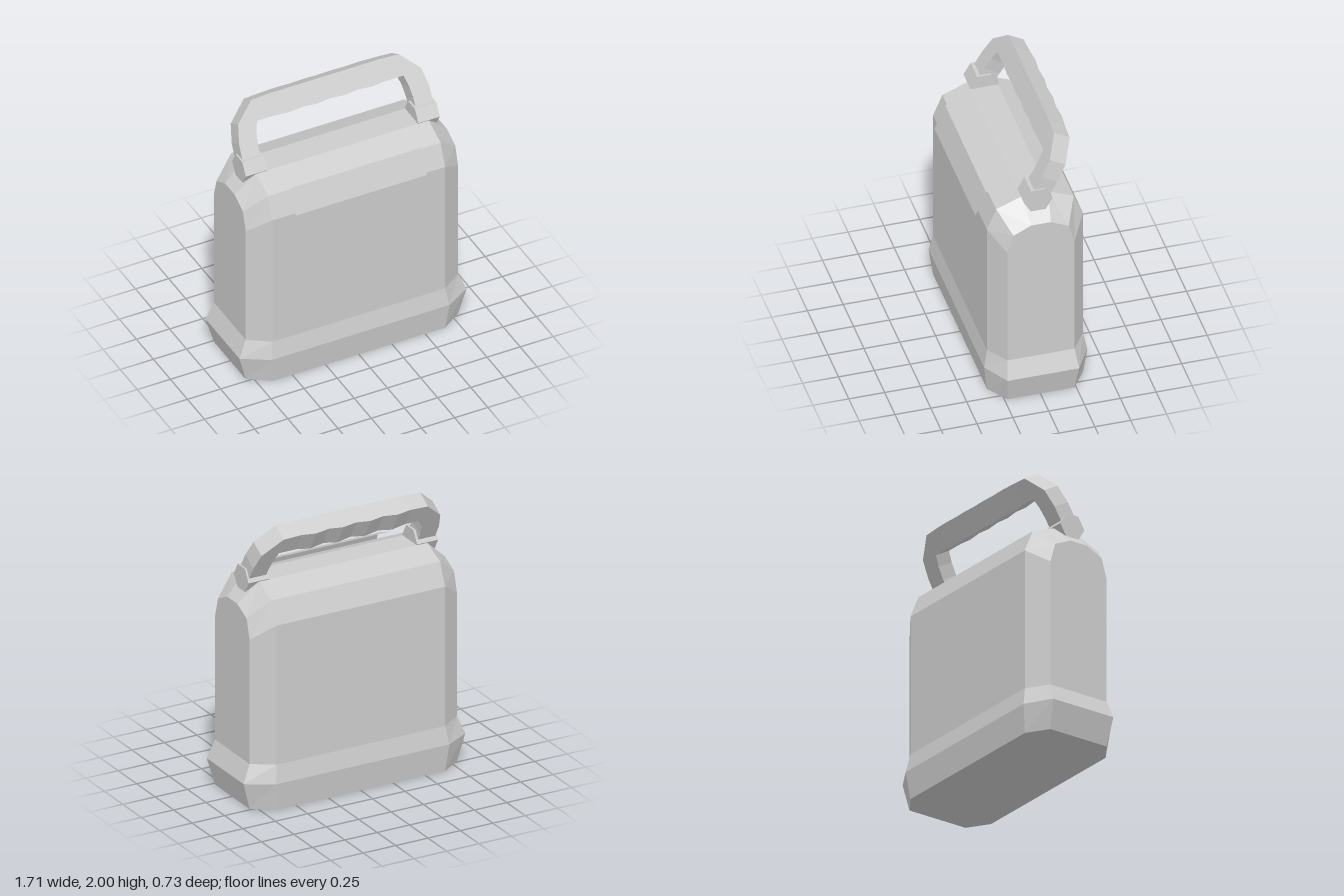
import * as THREE from 'three';

// Flat-shaded skin through equal-sized rings of [x, y, z]; ends closed by strips when capped
function loft(rings, closed = true) {
  const pos = [];
  const quad = (a, b, c, d) => pos.push(...a, ...b, ...c, ...a, ...c, ...d);
  const n = rings[0].length;
  for (let r = 0; r < rings.length - 1; r++) {
    const a = rings[r], b = rings[r + 1];
    for (let i = 0; i < (closed ? n : n - 1); i++) {
      const j = (i + 1) % n;
      quad(a[i], b[i], b[j], a[j]);
    }
  }
  if (closed) {
    const s = rings[0], e = rings[rings.length - 1];
    for (let i = 0; i < n / 2 - 1; i++) {
      const k = n - 1 - i;
      quad(e[i], e[k], e[k - 1], e[i + 1]);
      quad(s[i], s[i + 1], s[k - 1], s[k]);
    }
  }
  const g = new THREE.BufferGeometry();
  g.setAttribute('position', new THREE.Float32BufferAttribute(pos, 3));
  g.computeVertexNormals();
  return g;
}

export function createModel() {
  const group = new THREE.Group();
  const grey = new THREE.MeshStandardMaterial({ color: 0xcccccc, flatShading: true, side: THREE.DoubleSide });
  grey.name = 'light grey';
  const add = (name, geometry) => {
    const mesh = new THREE.Mesh(geometry, grey);
    mesh.name = name;
    group.add(mesh);
    return mesh;
  };
  const CZ = -0.005;

  // Body: half profiles [x, y, z offset], mirrored front to back
  const main = [[0.65, 0, 0.335], [0.67, 0.2, 0.36], [0.65, 0.33, 0.335],
    [0.65, 1.35, 0.335], [0.65, 1.51, 0.27], [0.65, 1.58, 0.095]];
  const side = [[0.8, 0, 0.233], [0.855, 0.2, 0.25], [0.8, 0.33, 0.233],
    [0.8, 1.24, 0.233], [0.8, 1.38, 0.193], [0.8, 1.44, 0.068]];
  const bodyRing = (half, sx) => [
    ...half.map(([x, y, z]) => [sx * x, y, CZ + z]),
    ...[...half].reverse().map(([x, y, z]) => [sx * x, y, CZ - z]),
  ];
  add('body', loft([bodyRing(side, -1), bodyRing(main, -1), bodyRing(main, 1), bodyRing(side, 1)]));

  // Label sheet hovering just off the front and shoulder
  const labelRing = (x) => [[x, 0.45, 0.365], [x, 1.36, 0.365], [x, 1.54, 0.29], [x, 1.61, 0.126]];
  add('frontLabel', loft([labelRing(-0.495), labelRing(0.495)], false));

  // Hexagonal handle pivots
  const PY = 1.587;
  for (const s of [-1, 1]) {
    const pivot = new THREE.CylinderGeometry(0.1, 0.1, 0.162, 6);
    pivot.rotateZ(Math.PI / 2);
    add(s > 0 ? 'leftPivot' : 'rightPivot', pivot).position.set(s * 0.65, PY, CZ);
  }

  // Handle: stations [outer x, outer height, inner x, inner height, bulge], upright then tilted back
  const leg = [[0.72, 0, 0.585, 0, 0], [0.716, 0.17, 0.585, 0.12, 0],
    [0.69, 0.3, 0.574, 0.21, 0], [0.557, 0.435, 0.552, 0.287, 0]];
  const stations = leg.map(([a, b, c, d, e]) => [-a, b, -c, d, e]);
  const steps = 16;
  for (let i = 0; i <= steps; i++) {
    const x = -0.42 + (0.84 * i) / steps;
    const bump = 0.5 - 0.5 * Math.cos((i / 4) * Math.PI * 2);
    stations.push([x, 0.442, x, 0.287 - 0.008 * bump, 0.014 * bump]);
  }
  stations.push(...[...leg].reverse());
  const handle = loft(stations.map(([ox, oy, ix, iy, b]) => [
    [ix, iy, 0.066], [ox, oy, 0.066], [ox, oy, -0.06 - b], [ix, iy, -0.06 - b],
  ]));
  handle.rotateX(-Math.PI / 6);
  add('carryHandle', handle).position.set(0, PY, CZ);

  return group;
}
